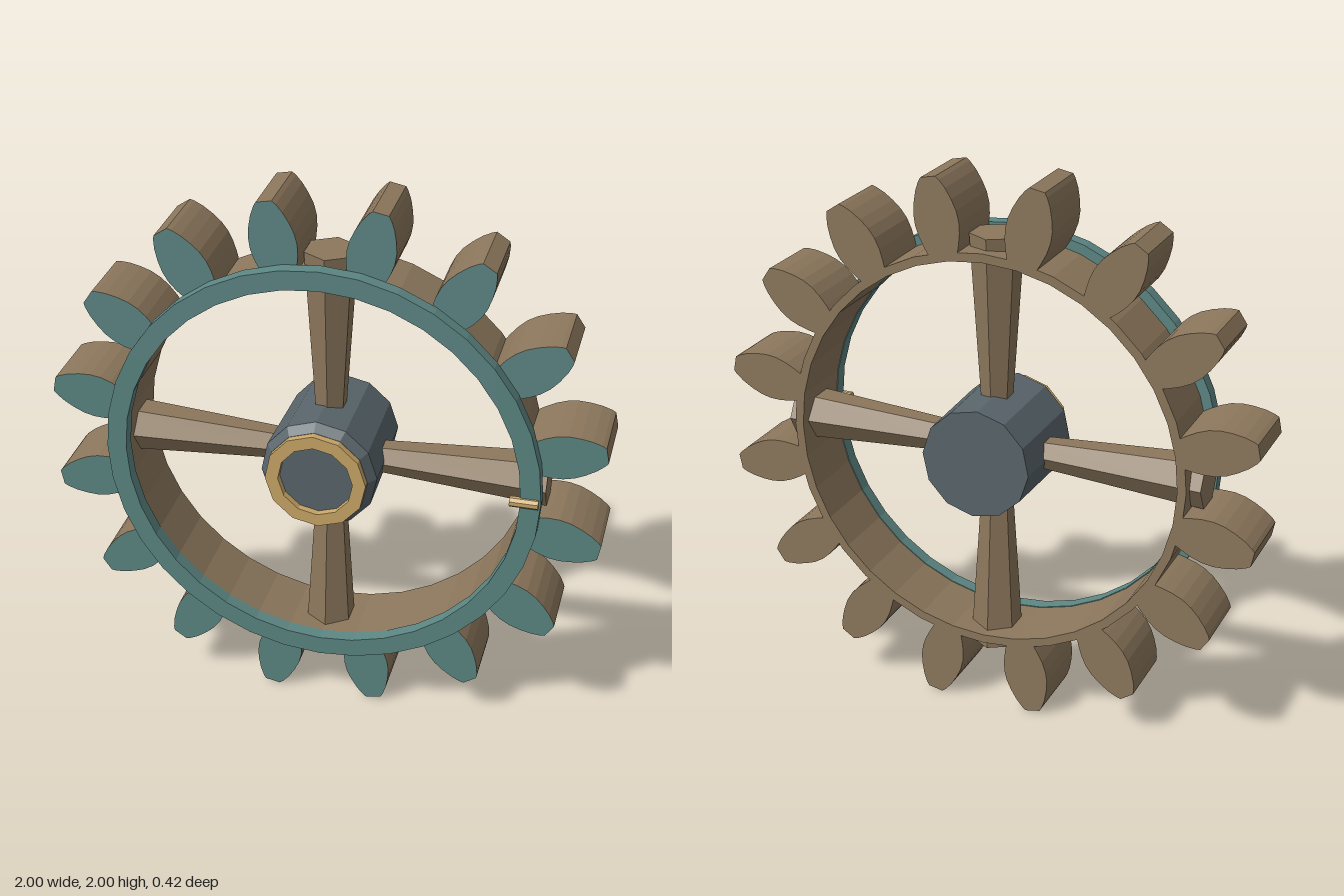
import * as THREE from 'three';

const material = (name, color) => {
  const m = new THREE.MeshStandardMaterial({ color });
  m.name = name;
  return m;
};

// Gives every face its own normal for a faceted look
function faceted(geometry) {
  const g = geometry.index ? geometry.toNonIndexed() : geometry;
  g.computeVertexNormals();
  return g;
}

// Solid of revolution around the z axis from [radius, z] pairs
function turned(points, segments) {
  const profile = points.map(([r, z]) => new THREE.Vector2(r, z));
  return faceted(new THREE.LatheGeometry(profile, segments).rotateX(Math.PI / 2));
}

// Flat-ended ring with a rectangular section
function band(inner, outer, back, front, segments) {
  return turned([[outer, back], [outer, front], [inner, front], [inner, back], [outer, back]], segments);
}

export function createModel() {
  const wood = material('wood', 0x8c775c);
  const teal = material('teal paint', 0x5c8683);
  const iron = material('dark iron', 0x59656b);
  const brass = material('brass', 0xc9a768);

  const model = new THREE.Group();
  const wheel = new THREE.Group();
  wheel.name = 'wheel';
  wheel.position.y = 1;
  model.add(wheel);

  const add = (name, geometry, mat, parent = wheel) => {
    const mesh = new THREE.Mesh(geometry, mat);
    mesh.name = name;
    parent.add(mesh);
    return mesh;
  };

  const BACK = -0.145, FRONT = 0.11, MID = (BACK + FRONT) / 2;

  // Wooden rim and painted front ring
  add('rim', band(0.718, 0.75, BACK, FRONT, 36), wood);
  add('frontRing', band(0.715, 0.786, FRONT, 0.16, 36), teal);

  // Leaf-shaped teeth: half profile as [radius, half width], mirrored
  const half = [[0.73, 0.05], [0.77, 0.065], [0.81, 0.077], [0.85, 0.083],
    [0.89, 0.081], [0.93, 0.071], [0.97, 0.056], [1.0, 0.039], [1.013, 0.028]];
  const outline = [
    ...half.map(([r, w]) => new THREE.Vector2(r, -w)),
    ...half.slice().reverse().map(([r, w]) => new THREE.Vector2(r, w)),
  ];
  const toothShape = new THREE.Shape(outline);
  const toothBody = faceted(new THREE.ExtrudeGeometry(toothShape, { depth: FRONT - BACK - 0.002, bevelEnabled: false }));
  const toothFace = new THREE.ShapeGeometry(toothShape);
  for (let i = 0; i < 16; i++) {
    const tooth = new THREE.Group();
    tooth.name = 'tooth';
    tooth.rotation.z = (i + 0.5) * Math.PI / 8;
    add('toothBody', toothBody, wood, tooth).position.z = BACK;
    add('toothFace', toothFace, teal, tooth).position.z = FRONT;
    wheel.add(tooth);
  }

  // Four hexagonal spokes, widening towards the rim
  const spoke = faceted(new THREE.CylinderGeometry(0.096, 0.055, 0.64, 6).translate(0, 0.47, MID));
  for (let i = 0; i < 4; i++) {
    add('spoke', spoke, wood).rotation.z = i * Math.PI / 2;
  }

  // Hub with a chamfered front and a brass collar
  const hub = add('hub', turned([[0, -0.212], [0.202, -0.212], [0.21, 0.155], [0.183, 0.186], [0, 0.186]], 12), iron);
  hub.rotation.z = 0.05;
  const collar = add('hubCollar', band(0.135, 0.182, 0.18, 0.212, 12), brass);
  collar.rotation.z = 0.05;

  // Small brass marker peg on the front ring
  const peg = faceted(new THREE.CylinderGeometry(0.019, 0.019, 0.1, 8, 1)
    .rotateY(Math.PI / 8).rotateZ(Math.PI / 2));
  add('markerPeg', peg, brass).position.set(0.728, 0, 0.16);

  return model;
}
